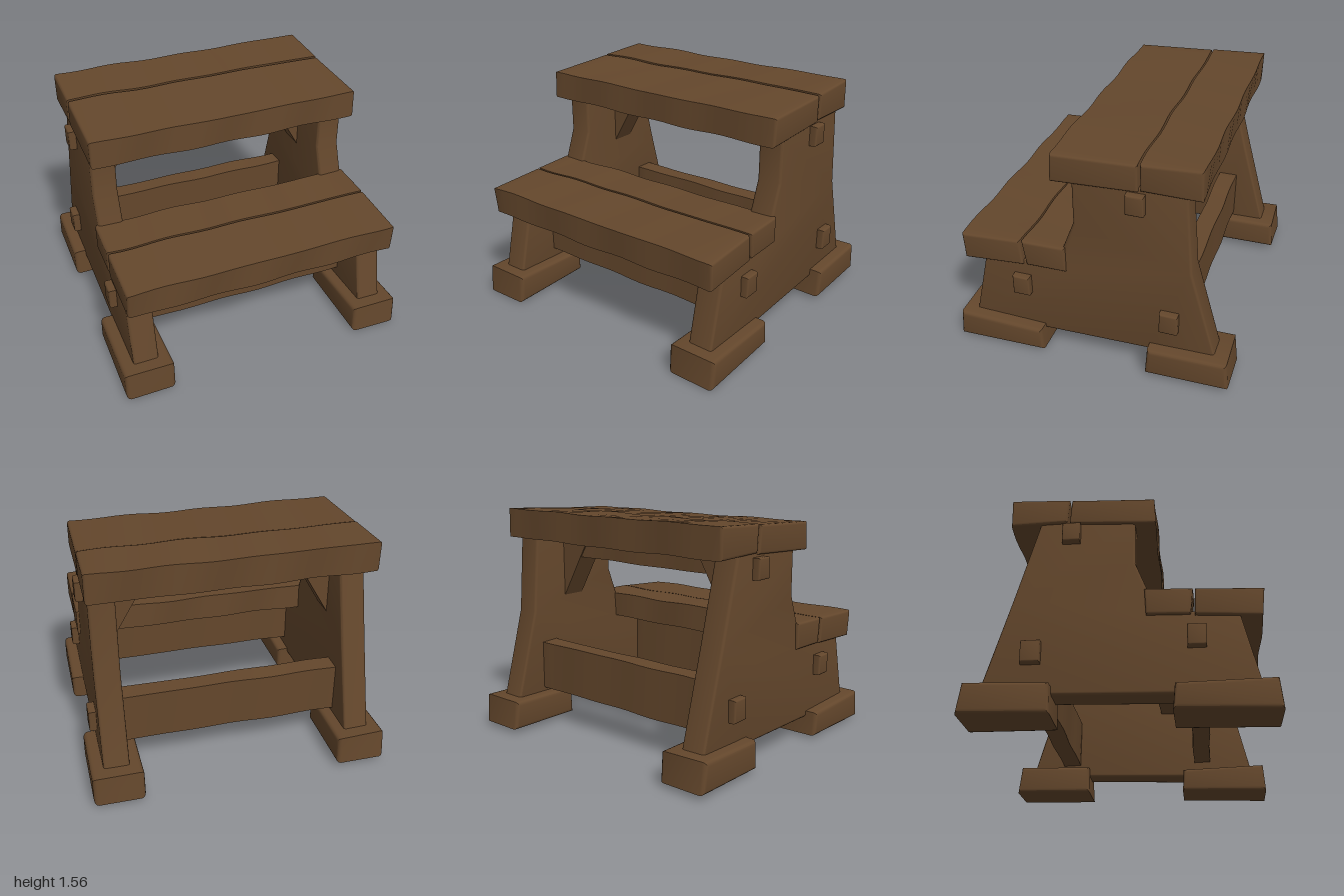
import * as THREE from 'three';
import { toCreasedNormals } from 'three/addons/utils/BufferGeometryUtils.js';

const wood = new THREE.MeshStandardMaterial({ color: 0x64472c });
wood.name = 'brown wood';

// Rounded prism along x from a [z, y] outline, with a gentle hand-hewn wobble
function prism(name, outline, x0, x1, bevel = 0.02, wobble = 0, steps = 1) {
  const pts = outline.map(([z, y]) => new THREE.Vector2(-z, y));
  if (THREE.ShapeUtils.isClockWise(pts)) pts.reverse();
  const g = new THREE.ExtrudeGeometry(new THREE.Shape(pts), {
    depth: x1 - x0 - 2 * bevel, steps, bevelEnabled: true,
    bevelThickness: bevel, bevelSize: bevel, bevelOffset: -bevel, bevelSegments: 3,
  });
  g.rotateY(Math.PI / 2).translate(x0 + bevel, 0, 0);
  const p = g.attributes.position;
  for (let i = 0; i < p.count && wobble; i++) {
    const x = p.getX(i), y = p.getY(i), z = p.getZ(i);
    p.setY(i, y + wobble * Math.sin(x * 9 + z * 13) * Math.cos(x * 4 - z * 7));
    p.setZ(i, z + wobble * Math.sin(x * 11 + y * 17 + z * 5));
  }
  const mesh = new THREE.Mesh(toCreasedNormals(g, 0.6), wood);
  mesh.name = name;
  return mesh;
}

const rect = (z0, z1, y0, y1) => [[z0, y0], [z1, y0], [z1, y1], [z0, y1]];

export function createModel() {
  const model = new THREE.Group();
  model.name = 'stepStool';

  // Tread planks, each slightly tilted
  const planks = {
    lowerFrontPlank: [[0.87, 0.625], [0.46, 0.65], [0.465, 0.83], [0.88, 0.81]],
    lowerBackPlank: [[0.435, 0.655], [0.16, 0.66], [0.16, 0.84], [0.452, 0.832]],
    upperFrontPlank: [[0.23, 1.32], [-0.32, 1.35], [-0.318, 1.53], [0.23, 1.505]],
    upperBackPlank: [[-0.335, 1.36], [-0.705, 1.35], [-0.71, 1.55], [-0.332, 1.535]],
  };
  for (const [name, outline] of Object.entries(planks)) {
    model.add(prism(name, outline, -0.93, 0.93, 0.018, 0.005, 24));
  }

  for (const s of [-1, 1]) {
    const side = s < 0 ? 'right' : 'left';
    const part = (name, outline, a, b, bevel, wobble) => model.add(
      prism(side + name, outline, Math.min(s * a, s * b), Math.max(s * a, s * b), bevel, wobble));

    // Stepped side panel; the two rear edges lean differently
    const rear = s < 0
      ? [[-0.51, 1.38], [-0.66, 0.82], [-0.845, 0.16]]
      : [[-0.615, 1.38], [-0.66, 0.82], [-0.845, 0.16]];
    part('SidePanel', [
      [0.33, 0.14], [0.85, 0.14], [0.725, 0.68], [0.2, 0.68], [0.18, 0.83],
      [0.1, 1.04], [0.1, 1.35], ...rear, [-0.4, 0.16],
    ], 0.74, 0.91, 0.018);

    // Block feet
    part('FrontFoot', [[0.94, 0], [0.32, 0.015], [0.33, 0.18], [0.925, 0.195]], 0.66, 0.995, 0.028, 0.004);
    part('BackFoot', [[-0.39, 0.02], [-0.94, 0.03], [-0.92, 0.228], [-0.4, 0.215]], 0.66, 0.995, 0.028, 0.004);

    // Tenon ends poking through the panel
    part('FrontTenon', rect(0.41, 0.525, 0.43, 0.57), 0.88, 0.96, 0.012);
    part('BackTenon', rect(-0.59, -0.47, 0.36, 0.505), 0.88, 0.96, 0.012);
    part('TopTenon', rect(-0.365, -0.25, 1.2, 1.335), 0.88, 0.96, 0.012);

    // Triangular corner brace under the top
    const tri = new THREE.Shape([[0.76, 0.87], [0.76, 1.35], [0.48, 1.35]]
      .map(([x, y]) => new THREE.Vector2(s * x, y)));
    const brace = new THREE.Mesh(
      new THREE.ExtrudeGeometry(tri, { depth: 0.17, bevelEnabled: false }).translate(0, 0, -0.37), wood);
    brace.name = side + 'Brace';
    model.add(brace);
  }

  // Cross beams between the panels
  model.add(prism('frontBeam', rect(0.41, 0.53, 0.25, 0.585), -0.77, 0.77, 0.015, 0.004, 16));
  model.add(prism('backBeam', rect(-0.6, -0.47, 0.25, 0.59), -0.77, 0.77, 0.015, 0.004, 16));
  model.add(prism('topBeam', rect(-0.36, -0.25, 1.2, 1.36), -0.77, 0.77, 0.012, 0.004, 16));

  return model;
}
